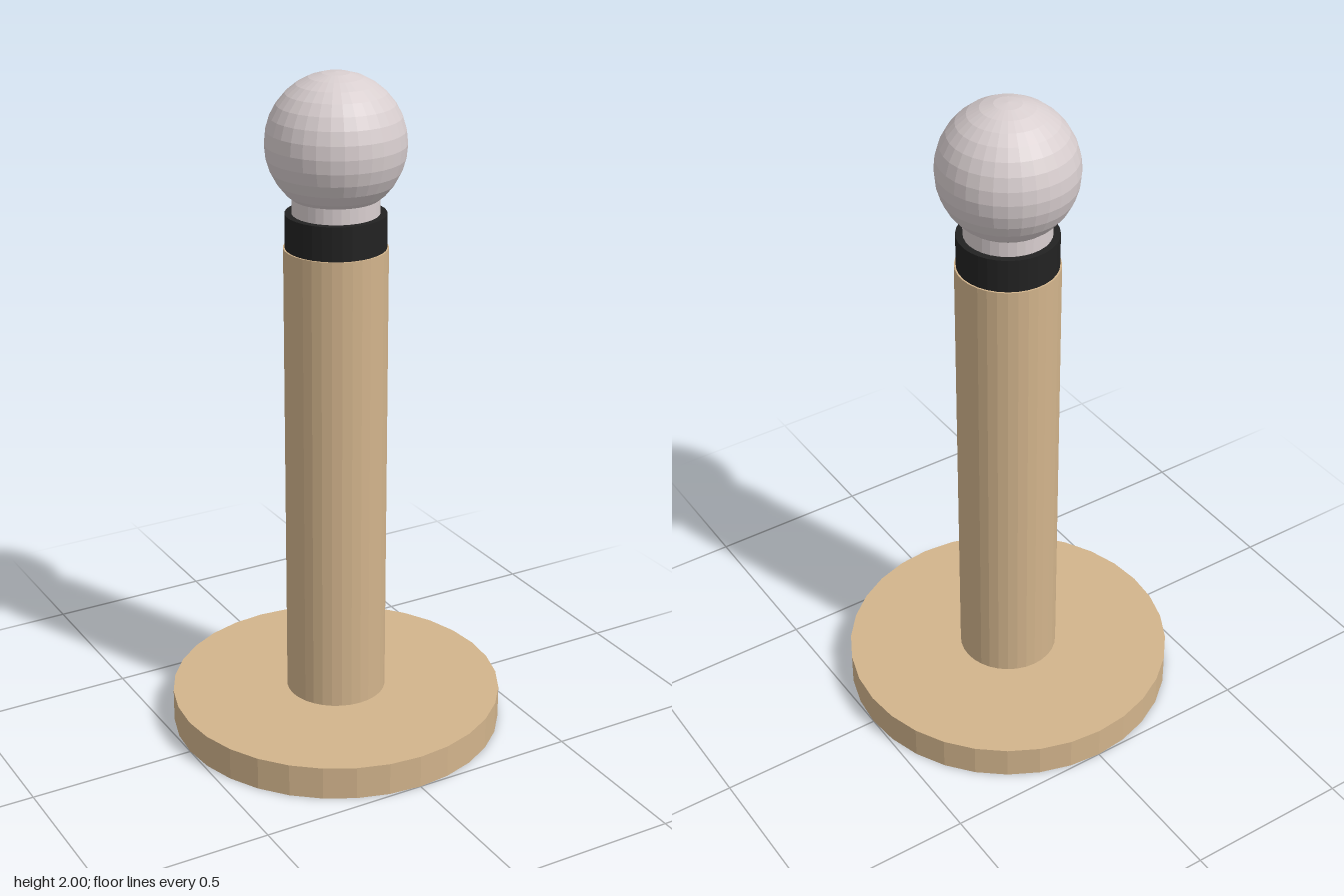
import * as THREE from 'three';

export function createModel() {
  const model = new THREE.Group();
  model.name = 'postWithBall';

  const material = (name, color) => {
    const m = new THREE.MeshStandardMaterial({ color, flatShading: true });
    m.name = name;
    return m;
  };
  const wood = material('tan wood', 0xd2b48c);
  const black = material('black band', 0x222222);
  const pale = material('pale grey', 0xd8cecf);

  const add = (name, geometry, mat, y) => {
    const mesh = new THREE.Mesh(geometry, mat);
    mesh.name = name;
    mesh.position.y = y;
    model.add(mesh);
  };
  // Upright disc or column between two heights
  const column = (name, radius, y0, y1, mat) =>
    add(name, new THREE.CylinderGeometry(radius, radius, y1 - y0, 32), mat, (y0 + y1) / 2);

  column('base', 0.5, 0, 0.1, wood);
  column('post', 0.15, 0.1, 1.5, wood);
  column('collar', 0.145, 1.5, 1.6, black);
  column('neck', 0.125, 1.6, 1.66, pale);

  // Faceted ball on top
  add('ball', new THREE.SphereGeometry(0.2, 32, 16), pale, 1.8);

  return model;
}
